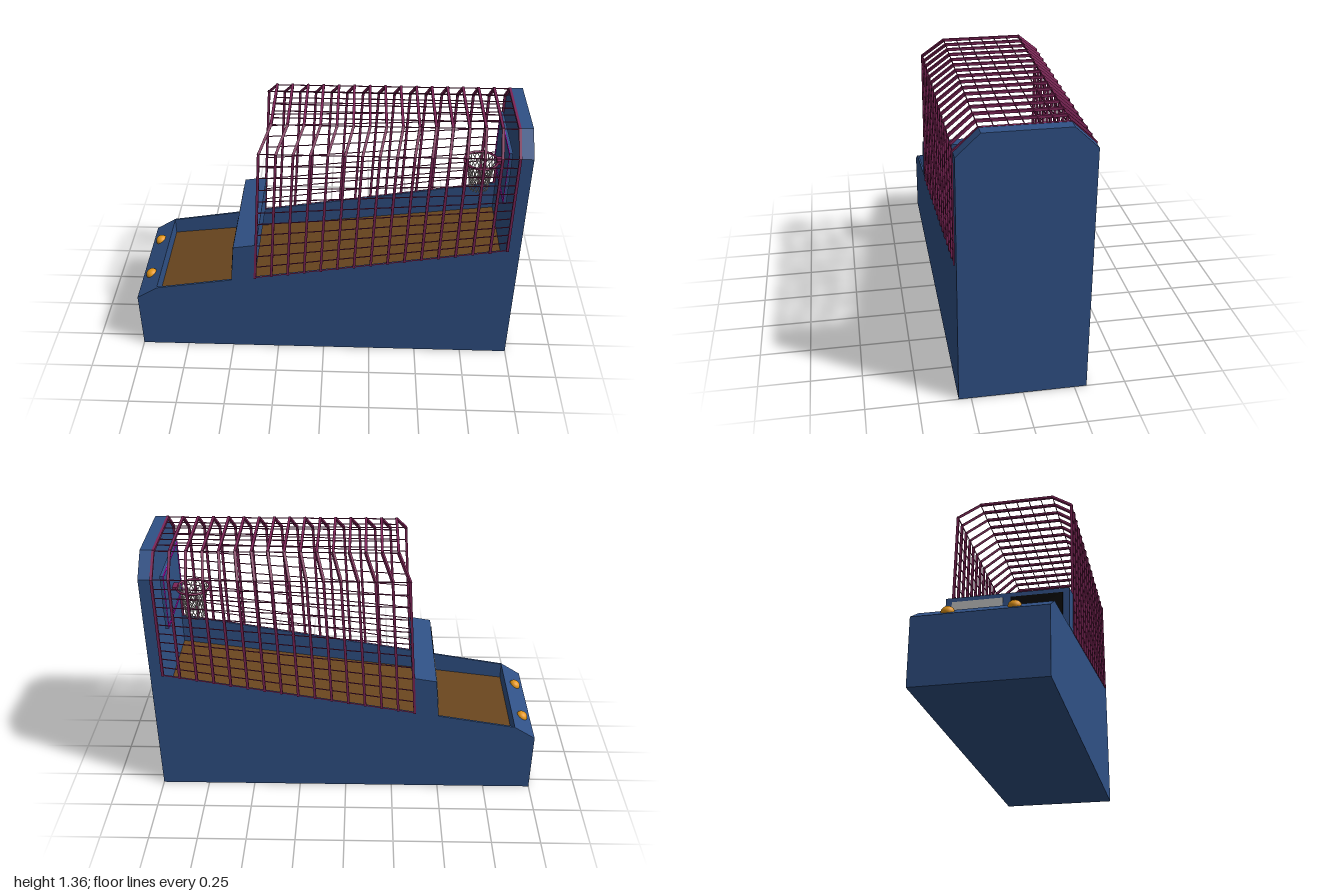
import * as THREE from 'three';
import { mergeGeometries } from 'three/addons/utils/BufferGeometryUtils.js';

const mat = (name, color) => Object.assign(new THREE.MeshStandardMaterial({ color }), { name });
const V = (x, y, z) => new THREE.Vector3(x, y, z);
const lerp = THREE.MathUtils.lerp;

// Straight bar between two points
function bar(a, b, t, sides = 4) {
  const d = b.clone().sub(a);
  const g = sides === 4
    ? new THREE.BoxGeometry(t, d.length() + t * 0.5, t)
    : new THREE.CylinderGeometry(t / 2, t / 2, d.length(), sides);
  g.applyQuaternion(new THREE.Quaternion().setFromUnitVectors(V(0, 1, 0), d.normalize()));
  return g.translate((a.x + b.x) / 2, (a.y + b.y) / 2, (a.z + b.z) / 2);
}

// Side profile (x, y) extruded from z0 to z1
function slab(points, z0, z1) {
  const shape = new THREE.Shape(points.map(([x, y]) => new THREE.Vector2(x, y)));
  return new THREE.ExtrudeGeometry(shape, { depth: z1 - z0, bevelEnabled: false }).translate(0, 0, z0);
}

export function createModel() {
  const root = new THREE.Group();
  root.name = 'basketballArcade';
  const blue = mat('cabinetBlue', 0x305186);
  const brown = mat('floorBrown', 0x69451e);
  const grey = mat('panelGrey', 0xb8b8b8);
  const black = mat('screenBlack', 0x050505);
  const orange = mat('buttonOrange', 0xe6981a);
  const maroon = mat('cageMaroon', 0x7c2456);
  const magenta = mat('trimMagenta', 0xd810d8);
  const netGrey = mat('netGrey', 0xcfc9c6);
  const add = (name, geometry, material, parent = root) => {
    const m = new THREE.Mesh(geometry, material);
    m.name = name;
    parent.add(m);
    return m;
  };

  // Cabinet: side walls, base, front console and tall back
  const W = 0.31, T = 0.01;
  const wall = [[-1, 0], [0.94, 0], [0.94, 0.705], [-0.89, 0.4], [-1, 0.33]];
  add('sideWallFront', slab(wall, W - T, W), blue);
  add('sideWallBack', slab(wall, -W, -W + T), blue);
  add('base', slab([[-0.89, 0], [0.94, 0], [0.94, 0.02], [-0.89, 0.02]], -W + T, W - T), blue);
  add('console', slab([[-1, 0], [-0.89, 0], [-0.89, 0.4], [-1, 0.33]], -W + T, W - T), blue);
  const back = new THREE.Shape([[-W, 0], [W, 0], [W, 1.255], [0.2, 1.36], [-0.2, 1.36], [-W, 1.255]]
    .map(([x, y]) => new THREE.Vector2(x, y)));
  add('backPanel', new THREE.ExtrudeGeometry(back, { depth: 0.06, bevelEnabled: false })
    .rotateY(Math.PI / 2).translate(0.94, 0, 0), blue);

  // Sloping ball ramp
  add('ramp', slab([[-0.89, 0.29], [0.94, 0.52], [0.94, 0.54], [-0.89, 0.31]], -W + T, W - T), brown);

  // Console buttons
  for (const z of [-0.155, 0.145]) {
    const b = add('button', new THREE.SphereGeometry(0.031, 20, 10, 0, Math.PI * 2, 0, Math.PI / 2), orange);
    b.scale.y = 0.85;
    b.rotation.z = Math.atan2(0.07, 0.11);
    b.position.set(-0.95, 0.362, z);
  }

  // Score box with two panels and the return flap below
  const score = new THREE.Group();
  score.name = 'scoreBox';
  root.add(score);
  add('scoreCase', slab([[-0.486, 0.468], [-0.36, 0.488], [-0.345, 0.705], [-0.465, 0.685]], -W - 0.002, W + 0.002), blue, score);
  const faceX = y => lerp(-0.486, -0.465, (y - 0.468) / 0.217);
  const plate = [[faceX(0.52) - 0.004, 0.52], [faceX(0.52), 0.52], [faceX(0.66), 0.66], [faceX(0.66) - 0.004, 0.66]];
  add('scorePanel', slab(plate, -0.28, -0.02), grey, score);
  add('screen', slab(plate, 0.02, 0.28), black, score);
  add('returnFlap', slab([[-0.497, 0.355], [-0.489, 0.355], [-0.478, 0.47], [-0.486, 0.47]], -W + T, W - T), grey, score);

  // Cage: hoops leaning forward at the open end, upright at the back
  const cage = new THREE.Group();
  cage.name = 'cage';
  root.add(cage);
  const section = t => {
    const x = lerp(-0.36, 0.935, t), y = lerp(0.488, 0.705, t);
    const xs = lerp(-0.31, 0.935, t), xt = lerp(-0.255, 0.935, t);
    return [V(x, y, W), V(xs, 1.255, W), V(xt, 1.355, 0.2),
      V(xt, 1.355, -0.2), V(xs, 1.255, -W), V(x, y, -W)];
  };
  const ribs = [], wires = [];
  const N = 15;
  for (let i = 0; i <= N; i++) {
    const p = section(i / N);
    for (let k = 0; k < 5; k++) ribs.push(bar(p[k], p[k + 1], 0.013));
  }
  const s0 = section(0), s1 = section(1);
  // Long wires along the sides and the roof
  const runs = (k, n) => {
    for (let j = 0; j <= n; j++) {
      wires.push(bar(s0[k].clone().lerp(s0[k + 1], j / n), s1[k].clone().lerp(s1[k + 1], j / n), 0.004));
    }
  };
  runs(0, 11);
  runs(2, 6);
  runs(4, 11);
  add('cageRibs', mergeGeometries(ribs), maroon, cage);
  add('cageWires', mergeGeometries(wires), maroon, cage);

  // Target board with a flat trim outline on its face
  const hoop = new THREE.Group();
  hoop.name = 'hoop';
  root.add(hoop);
  add('targetBoard', new THREE.BoxGeometry(0.014, 0.3, 0.41).translate(0.91, 1.07, 0), blue, hoop);
  const rect = (w, h, Type) => new Type([[-w, -h], [w, -h], [w, h], [-w, h]].map(([x, y]) => new THREE.Vector2(x, y)));
  const trim = rect(0.205, 0.15, THREE.Shape);
  trim.holes.push(rect(0.192, 0.137, THREE.Path));
  add('boardTrim', new THREE.ExtrudeGeometry(trim, { depth: 0.003, bevelEnabled: false })
    .rotateY(-Math.PI / 2).translate(0.903, 1.07, 0), magenta, hoop);
  add('boardMount', new THREE.BoxGeometry(0.03, 0.08, 0.1).translate(0.928, 1.07, 0), blue, hoop);

  // Rim and its bracket
  const cx = 0.8, cy = 1.05, cz = 0.005;
  add('rim', new THREE.TorusGeometry(0.086, 0.006, 8, 32).rotateX(Math.PI / 2).translate(cx, cy, cz), maroon, hoop);
  add('rimBracket', new THREE.BoxGeometry(0.03, 0.02, 0.05).translate(0.893, cy, cz), maroon, hoop);

  // Tapered net of crossing strands
  const strands = [], M = 18, rows = 7;
  const knot = (r, a) => {
    const f = r / rows, rad = lerp(0.084, 0.048, Math.sqrt(f));
    const ang = (a / M) * Math.PI * 2;
    return V(cx + rad * Math.cos(ang), cy - 0.17 * f, cz + rad * Math.sin(ang));
  };
  for (let r = 0; r < rows; r++) {
    for (let i = 0; i < M; i++) {
      const a = i + (r % 2) / 2;
      for (const s of [-0.5, 0.5]) strands.push(bar(knot(r, a), knot(r + 1, a + s), 0.005, 5));
    }
  }
  add('net', mergeGeometries(strands), netGrey, hoop);

  return root;
}
